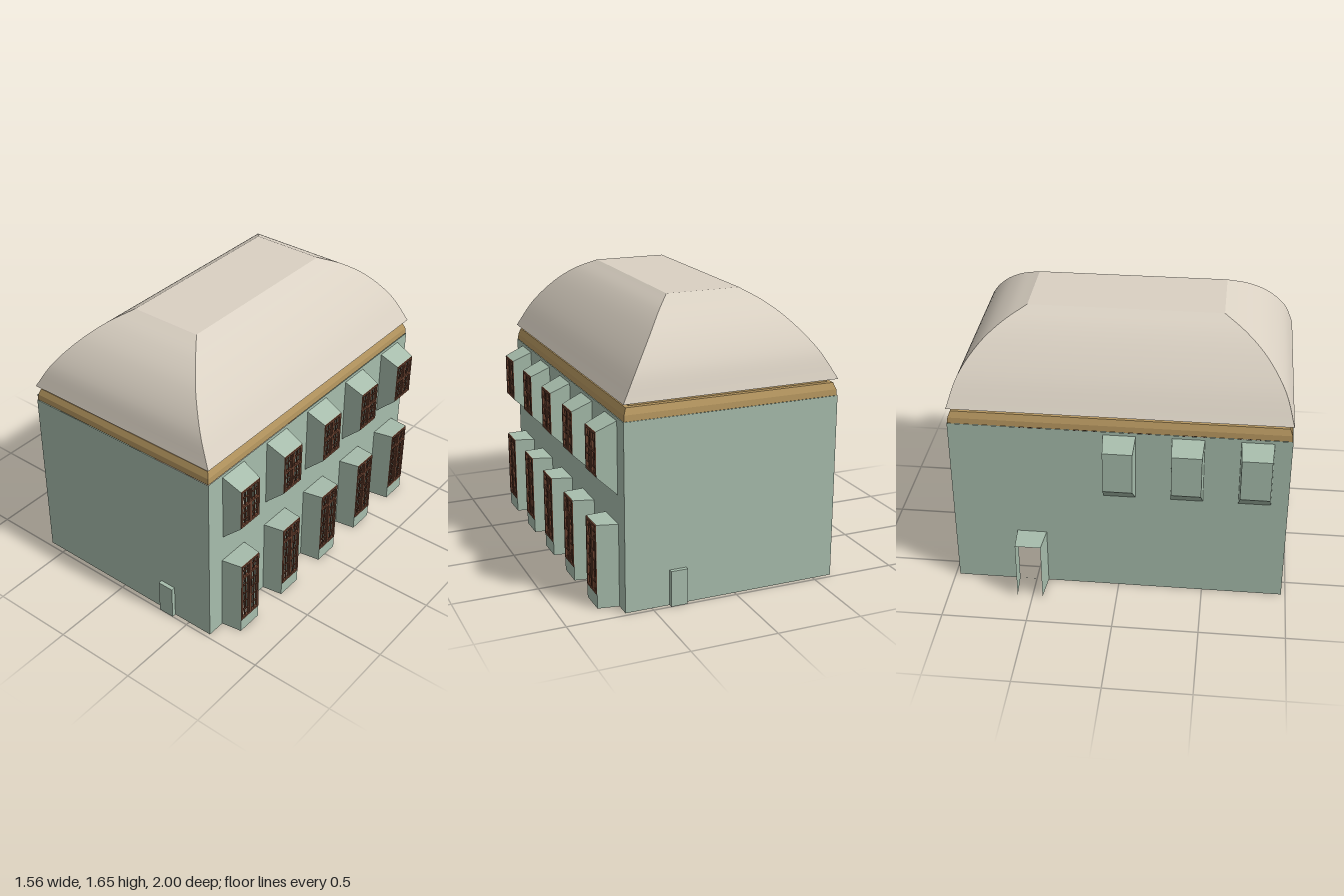
import * as THREE from 'three';
import { mergeGeometries } from 'three/addons/utils/BufferGeometryUtils.js';

const X0 = -0.615, X1 = 0.655, ZW = 0.975, WALL_TOP = 1.085;

function material(name, color) {
  const m = new THREE.MeshStandardMaterial({ color, side: THREE.DoubleSide });
  m.name = name;
  return m;
}

// Four-sided loft through rectangles { x0, x1, z, y }; every side keeps its own normals
function loftRings(rings, smooth) {
  const corners = r => [[r.x0, r.z], [r.x1, r.z], [r.x1, -r.z], [r.x0, -r.z]];
  const sides = [0, 1, 2, 3].map(k => {
    const pos = [], idx = [];
    rings.forEach((r, i) => {
      const c = corners(r), a = c[k], b = c[(k + 1) % 4];
      pos.push(a[0], r.y, a[1], b[0], r.y, b[1]);
      if (i) {
        const p = 2 * i - 2;
        idx.push(p, p + 1, p + 3, p, p + 3, p + 2);
      }
    });
    let g = new THREE.BufferGeometry();
    g.setAttribute('position', new THREE.Float32BufferAttribute(pos, 3));
    g.setIndex(idx);
    g = smooth ? g : g.toNonIndexed();
    g.computeVertexNormals();
    return g;
  });
  return mergeGeometries(sides);
}

// Flat-shaded surface from quads of [x, y, z] corners
function quads(list) {
  const pos = [];
  for (const [a, b, c, d] of list) pos.push(...a, ...b, ...c, ...a, ...c, ...d);
  const g = new THREE.BufferGeometry();
  g.setAttribute('position', new THREE.Float32BufferAttribute(pos, 3));
  g.computeVertexNormals();
  return g;
}

// Long wall in the z-y plane with rectangular openings { z, w, y0, y1 }
function sideWall(x, openings) {
  const rect = (T, a, b, y0, y1) => {
    const s = new T();
    s.moveTo(a, y0); s.lineTo(b, y0); s.lineTo(b, y1); s.lineTo(a, y1); s.closePath();
    return s;
  };
  const shape = rect(THREE.Shape, -ZW, ZW, 0, WALL_TOP);
  for (const o of openings) {
    shape.holes.push(rect(THREE.Path, o.z - o.w / 2, o.z + o.w / 2, Math.max(o.y0, 0.001), o.y1));
  }
  const g = new THREE.ShapeGeometry(shape);
  // turn the sheet so it faces outwards
  const p = g.attributes.position;
  const s = Math.sign(x);
  g.rotateY(-Math.PI / 2);
  for (let i = 0; i < p.count; i++) p.setX(i, x);
  if (s > 0) {
    const idx = g.index.array;
    for (let i = 0; i < idx.length; i += 3) [idx[i], idx[i + 1]] = [idx[i + 1], idx[i]];
  }
  g.computeVertexNormals();
  return g;
}

// Hollow bay from a wall opening to a smaller outer rectangle
function bayGeometry(o, x, f) {
  const rect = (px, r) => {
    const a = o.z - r.w / 2, b = o.z + r.w / 2;
    return [[px, r.y0, b], [px, r.y0, a], [px, r.y1, a], [px, r.y1, b]];
  };
  const A = rect(x, o), B = rect(f.x, f), list = [];
  for (let k = o.y0 > 0 ? 0 : 1; k < 4; k++) {
    const n = (k + 1) % 4;
    list.push(x > 0 ? [A[k], B[k], B[n], A[n]] : [A[n], B[n], B[k], A[k]]);
  }
  if (f.panel) {
    const C = rect(f.x, { w: f.w, y0: f.y0, y1: f.panel });
    list.push(x > 0 ? C : C.reverse());
  }
  return quads(list);
}

// Barred window in the plane x, with no glass
function windowGeometry(x, z, w, y0, y1, transom, lowRows, topRows) {
  const parts = [], t = 0.013, m = 0.005;
  const bar = (cz, cy, bw, bh, d) =>
    parts.push(new THREE.BoxGeometry(d, bh, bw).translate(x - 0.004, cy, cz));
  const h = y1 - y0, cy = (y0 + y1) / 2;
  for (const s of [-1, 1]) {
    bar(z + s * (w - t) / 2, cy, t, h, 0.016);
    bar(z + s * w / 4, cy, m, h, 0.008);
    bar(z + s * w * 0.085, cy, 0.007, h, 0.012);
  }
  bar(z, cy, 0.012, h, 0.016);
  for (const y of [y0 + t / 2, transom, y1 - t / 2]) bar(z, y, w, t, 0.016);
  for (let i = 1; i < lowRows; i++) bar(z, y0 + (transom - y0) * i / lowRows, w, m, 0.008);
  for (let i = 1; i < topRows; i++) bar(z, transom + (y1 - transom) * i / topRows, w, m, 0.008);
  return mergeGeometries(parts);
}

export function createModel() {
  const group = new THREE.Group();
  const green = material('wall green', 0xa7bdac);
  const cream = material('roof cream', 0xdad1c3);
  const tan = material('cornice tan', 0xb5965f);
  const brown = material('window brown', 0x69412f);
  const skirting = material('skirting brown', 0xa98a70);
  const add = (name, geometry, mat) => {
    const mesh = new THREE.Mesh(geometry, mat);
    mesh.name = name;
    group.add(mesh);
  };

  const rightZ = [0.763, 0.375, -0.01, -0.395, -0.783];
  const leftZ = [0.783, 0.395, 0.007];
  const upper = z => ({ z, w: 0.185, y0: 0.65, y1: 1.065 });
  const lower = z => ({ z, w: 0.2, y0: 0, y1: 0.485 });
  const porch = { z: -0.515, w: 0.175, y0: 0, y1: 0.36 };

  // Hollow walls
  add('rightWall', sideWall(X1, [...rightZ.map(upper), ...rightZ.map(lower)]), green);
  add('leftWall', sideWall(X0, [...leftZ.map(upper), porch]), green);
  for (const s of [1, -1]) {
    const wall = new THREE.PlaneGeometry(X1 - X0, WALL_TOP);
    if (s < 0) wall.rotateY(Math.PI);
    wall.translate((X0 + X1) / 2, WALL_TOP / 2, s * ZW);
    add(s > 0 ? 'frontWall' : 'backWall', wall, green);

    // Small end doors with a dark leaf inside
    add('endDoor', new THREE.BoxGeometry(0.098, 0.21, 0.024).translate(0.347, 0.105, s * 0.988), green);
    add('endDoorLeaf', new THREE.BoxGeometry(0.075, 0.19, 0.008).translate(0.347, 0.1, s * 0.968), brown);

    // Inner skirting along the end walls
    add('endSkirting', new THREE.BoxGeometry(X1 - X0 - 0.02, 0.08, 0.006).translate(0.02, 0.04, s * 0.969), skirting);
  }

  // Inner skirting on the left, interrupted by the porch
  for (const [a, b] of [[-0.97, -0.605], [-0.425, 0.97]]) {
    add('leftSkirting', new THREE.BoxGeometry(0.006, 0.08, b - a).translate(X0 + 0.006, 0.04, (a + b) / 2), skirting);
  }

  // Right bays with windows
  for (const z of rightZ) {
    add('upperBay', bayGeometry(upper(z), X1, { x: 0.77, w: 0.165, y0: 0.76, y1: 1.015, panel: 0.77 }), green);
    add('upperWindow', windowGeometry(0.77, z, 0.16, 0.765, 1.013, 0.9, 3, 2), brown);
    add('lowerBay', bayGeometry(lower(z), X1, { x: 0.776, w: 0.16, y0: 0, y1: 0.49, panel: 0.085 }), green);
    add('lowerWindow', windowGeometry(0.776, z, 0.155, 0.083, 0.487, 0.395, 5, 2), brown);
  }

  // Left closed bays and open porch
  for (const z of leftZ) {
    add('leftBay', bayGeometry(upper(z), X0, { x: -0.732, w: 0.17, y0: 0.76, y1: 1.015, panel: 1.015 }), green);
  }
  add('porch', bayGeometry(porch, X0, { x: -0.78, w: 0.15, y0: 0, y1: 0.365 }), green);

  // Stepped cornice
  const inset = ([d, y]) => ({ x0: X0 + d, x1: X1 - d, z: ZW - d, y });
  add('cornice', loftRings(
    [[0.02, 1.083], [0.003, 1.085], [0.006, 1.12], [0.02, 1.157], [0.045, 1.158], [0.045, 1.18]].map(inset)), tan);

  // Domed hipped roof: curved sides, flat top and soffit
  const curve = new THREE.CatmullRomCurve3([
    [0, 1.18, 0], [0.095, 1.34, 0.055], [0.215, 1.49, 0.165], [0.315, 1.585, 0.285], [0.415, 1.65, 0.415],
  ].map(p => new THREE.Vector3(...p)));
  const rings = curve.getPoints(20).map(p => ({ x0: X0 + p.x, x1: X1 - p.x, z: ZW - p.z, y: p.y }));
  add('roofSides', loftRings(rings, true), cream);
  const flat = r => quads([[[r.x0, r.y, r.z], [r.x1, r.y, r.z], [r.x1, r.y, -r.z], [r.x0, r.y, -r.z]]]);
  add('roofTop', flat(rings[rings.length - 1]), cream);
  add('roofSoffit', flat(rings[0]), cream);

  return group;
}
